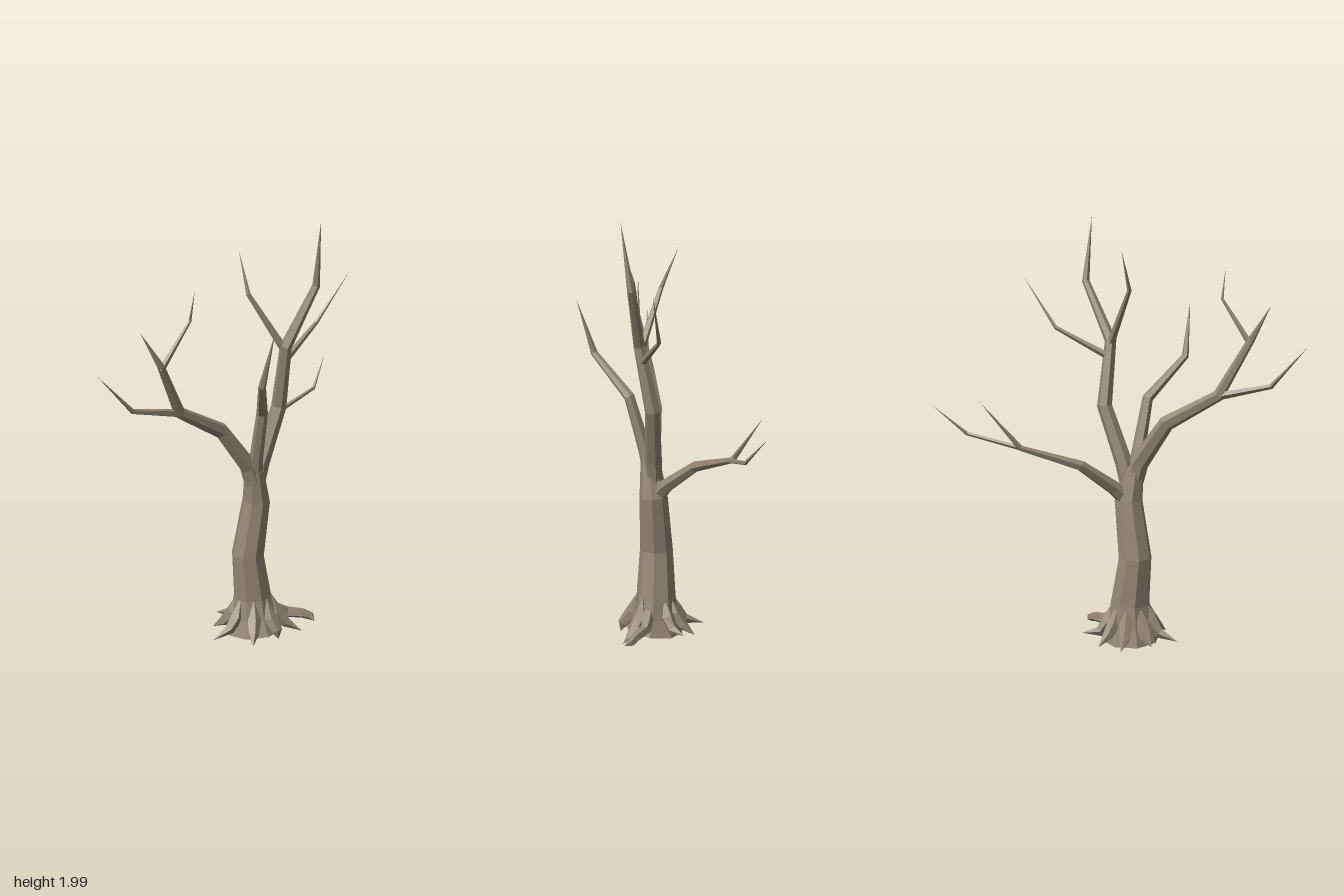
import * as THREE from 'three';

const bark = new THREE.MeshStandardMaterial({ color: 0x948675, flatShading: true });
bark.name = 'bark';

// Faceted limb through points [x, y, z, radius]; a zero radius makes a sharp tip.
function limb(name, points, sides) {
  const centers = points.map((p) => new THREE.Vector3(p[0], p[1], p[2]));
  const last = points.length - 1;
  let u = null;
  const rings = centers.map((c, i) => {
    const t = centers[Math.min(i + 1, last)].clone().sub(c).normalize();
    if (i > 0) t.add(c.clone().sub(centers[i - 1]).normalize()).normalize();
    if (!u) u = Math.abs(t.z) < 0.8 ? new THREE.Vector3(0, 0, 1) : new THREE.Vector3(1, 0, 0);
    u = u.clone().addScaledVector(t, -u.dot(t)).normalize();
    const v = t.clone().cross(u);
    return Array.from({ length: sides }, (_, j) => {
      const a = ((j + 0.5) / sides) * Math.PI * 2;
      const p = c.clone().addScaledVector(u, Math.cos(a) * points[i][3]);
      p.addScaledVector(v, Math.sin(a) * points[i][3]);
      p.y = Math.max(p.y, 0);
      return p;
    });
  });
  const pos = [];
  const tri = (...corners) => corners.forEach((p) => pos.push(p.x, p.y, p.z));
  for (let j = 0; j < sides; j++) {
    const k = (j + 1) % sides;
    for (let i = 0; i < last; i++) {
      const [a, b, c, d] = [rings[i][j], rings[i][k], rings[i + 1][k], rings[i + 1][j]];
      if (points[i][3] > 0) tri(a, b, d);
      if (points[i + 1][3] > 0) tri(b, c, d);
    }
    if (points[0][3] > 0) tri(centers[0], rings[0][k], rings[0][j]);
    if (points[last][3] > 0) tri(centers[last], rings[last][j], rings[last][k]);
  }
  const geometry = new THREE.BufferGeometry();
  geometry.setAttribute('position', new THREE.Float32BufferAttribute(pos, 3));
  geometry.computeVertexNormals();
  const mesh = new THREE.Mesh(geometry, bark);
  mesh.name = name;
  return mesh;
}

export function createModel() {
  const tree = new THREE.Group();
  tree.name = 'bareTree';
  const add = (name, points, sides) => tree.add(limb(name, points, sides));

  add('trunk', [
    [-0.035, 0.012, 0, 0.14], [-0.035, 0.09, -0.008, 0.112], [-0.035, 0.19, -0.012, 0.094],
    [-0.06, 0.41, -0.02, 0.079], [-0.025, 0.68, 0.003, 0.067], [-0.05, 0.84, 0.012, 0.047],
  ], 8);

  // Right-hand main branch and its twigs
  add('rightBranch', [
    [-0.05, 0.78, 0.01, 0.048], [-0.075, 0.86, 0, 0.045], [-0.21, 1.06, -0.05, 0.037],
    [-0.45, 1.2, -0.085, 0.027], [-0.59, 1.45, -0.06, 0.017], [-0.68, 1.61, -0.09, 0],
  ], 6);
  add('rightLowerTwig', [[-0.42, 1.19, -0.08, 0.02], [-0.69, 1.255, -0.135, 0.012], [-0.85, 1.44, -0.18, 0]], 5);
  add('rightUpperTwig', [[-0.59, 1.43, -0.06, 0.015], [-0.455, 1.63, -0.01, 0.007], [-0.465, 1.77, 0.03, 0]], 5);

  // Short branch leaning forward
  add('frontBranch', [
    [-0.04, 0.76, 0.01, 0.035], [-0.065, 0.9, 0.035, 0.032], [-0.1, 1.15, 0.1, 0.026],
    [-0.26, 1.335, 0.23, 0.017], [-0.272, 1.59, 0.31, 0],
  ], 6);

  // Tall central branch and its twigs
  add('tallBranch', [
    [-0.03, 0.74, 0, 0.042], [0, 0.86, 0.01, 0.041], [0.095, 1.12, 0.04, 0.036],
    [0.075, 1.42, 0.095, 0.028], [0.205, 1.69, 0.165, 0.018], [0.182, 1.99, 0.205, 0],
  ], 6);
  add('tallBackTwig', [[0.075, 1.4, 0.09, 0.02], [-0.035, 1.665, -0.035, 0.011], [-0.01, 1.85, -0.11, 0]], 5);
  add('tallLeftTwig', [[0.08, 1.345, 0.08, 0.018], [0.33, 1.477, 0.072, 0.01], [0.5, 1.71, 0.143, 0]], 5);

  // Low left-hand branch and its twig
  add('leftBranch', [
    [-0.03, 0.67, 0, 0.04], [0.035, 0.745, -0.04, 0.035], [0.175, 0.868, -0.14, 0.026],
    [0.435, 0.96, -0.235, 0.014], [0.6, 1.18, -0.315, 0],
  ], 6);
  add('leftTwig', [[0.41, 0.952, -0.225, 0.012], [0.69, 1.015, -0.21, 0.009], [0.84, 1.15, -0.255, 0]], 5);

  // Tapered roots: x, y, z of each ground tip
  const tips = [
    [-0.03, 0.02, -0.25], [0.18, 0.05, -0.09], [0.1, 0.005, 0.185], [-0.05, 0.01, 0.16],
    [-0.19, 0.015, 0.12], [-0.27, 0.02, -0.06], [-0.16, 0.02, -0.16], [0.09, 0.01, -0.17],
  ];
  tips.forEach(([x, y, z], i) => {
    const dir = new THREE.Vector2(x + 0.035, z).normalize();
    const at = (r, h, radius) => [-0.035 + dir.x * r, h, dir.y * r, radius];
    add(`root${i + 1}`, [at(0.08, 0.2, 0), at(0.105, 0.105, 0.034), at(0.15, 0.05, 0.026), [x, y, z, 0]], 5);
  });
  // Knobbly bent root
  add('bentRoot', [
    [0.03, 0.12, 0.04, 0.03], [0.11, 0.07, 0.08, 0.028], [0.165, 0.06, 0.14, 0.024],
    [0.19, 0.045, 0.17, 0.02], [0.185, 0.03, 0.198, 0],
  ], 5);

  return tree;
}
